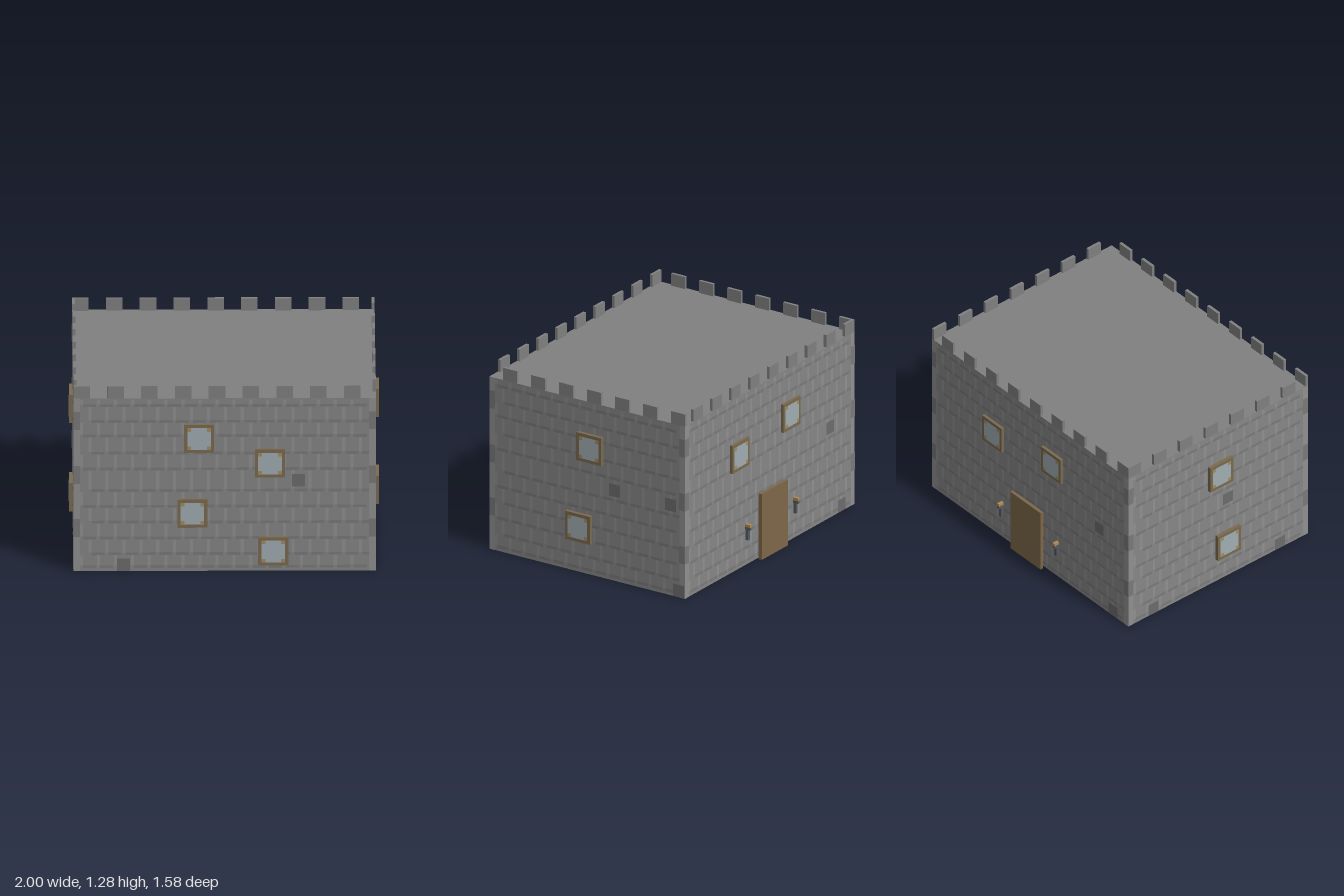
import * as THREE from 'three';
import { mergeGeometries } from 'three/addons/utils/BufferGeometryUtils.js';

const mat = (color) => new THREE.MeshStandardMaterial({ color });
const M = {
  stone: mat(0x868686), light: mat(0x909090), dark: mat(0x7a7a7a), patch: mat(0x6c6c6c),
  merlon: mat(0x808080), frame: mat(0x7a6a4f), corner: mat(0xa28c5f), glass: mat(0xa0adb3),
  door: mat(0x7d6748), iron: mat(0x555a60), flame: mat(0xb08a50),
};

const HALF_X = 0.975, FRONT = 0.77, BACK = -0.752, WALL_H = 1.2;
const TILE = 0.109, MERLON_H = 0.085, THICK = 0.02;

function add(parent, name, geometry, material, x = 0, y = 0, z = 0) {
  const mesh = new THREE.Mesh(geometry, material);
  mesh.name = name;
  mesh.position.set(x, y, z);
  parent.add(mesh);
  return mesh;
}
const box = (parent, name, material, w, h, d, x, y, z) =>
  add(parent, name, new THREE.BoxGeometry(w, h, d), material, x, y, z);
// Flat rectangle given by its edges, facing out of the wall
const rect = (x0, x1, y0, y1, z) =>
  new THREE.PlaneGeometry(x1 - x0, y1 - y0).translate((x0 + x1) / 2, (y0 + y1) / 2, z);

// Coursed stone facing: dark bed joints, light upright joints, quoins at both ends
function stonework(face, x0, x1) {
  const rows = [0.03, 0.12, 0.23, 0.34, 0.45, 0.56, 0.71, 0.82, 0.94, 1.04, 1.15];
  const dark = [], light = [], q = 0.043, z = 0.001;
  rows.forEach((y, r) => {
    const top = r + 1 < rows.length ? rows[r + 1] - 0.01 : WALL_H - 0.01;
    const shift = r % 2 ? TILE / 2 : 0;
    for (let x = x0 + q + shift; x < x1 - q - 0.02; x += TILE) {
      light.push(rect(x, x + 0.02, y + 0.01, top, z));
      dark.push(rect(x + 0.02, Math.min(x + TILE - 0.005, x1 - q), y - 0.01, y + 0.01, z));
    }
  });
  for (const [a, b] of [[x0, x0 + q], [x1 - q, x1]]) {
    light.push(rect(a, b, 0, WALL_H, z));
    for (const y of [0.3, 0.67, 1.045]) dark.push(rect(a, b, y - 0.062, y + 0.062, 0.0018));
  }
  add(face, 'lightJoints', mergeGeometries(light), M.light);
  add(face, 'darkJoints', mergeGeometries(dark), M.dark);
}

// Square window: wooden frame, pane and four corner blocks
function makeWindow(face, x, y, depth) {
  const g = new THREE.Group();
  g.name = 'window';
  g.position.set(x, y, 0);
  face.add(g);
  box(g, 'windowFrame', M.frame, 0.195, 0.195, depth, 0, 0, depth / 2);
  add(g, 'windowPane', new THREE.PlaneGeometry(0.152, 0.152), M.glass, 0, 0, depth + 0.001);
  const blocks = [];
  for (const sx of [-1, 1]) for (const sy of [-1, 1]) {
    blocks.push(new THREE.PlaneGeometry(0.025, 0.025).translate(sx * 0.0635, sy * 0.0635, 0));
  }
  add(g, 'paneCorners', mergeGeometries(blocks), M.corner, 0, 0, depth + 0.002);
}

// Wall torch: bracket, stick and head
function makeTorch(face, x) {
  const g = new THREE.Group();
  g.name = 'torch';
  g.position.set(x, 0, 0);
  face.add(g);
  box(g, 'torchStick', M.iron, 0.022, 0.075, 0.02, 0, 0.215, 0.013);
  box(g, 'torchBracket', M.iron, 0.02, 0.02, 0.038, 0, 0.257, 0.019);
  box(g, 'torchHead', M.flame, 0.02, 0.02, 0.038, 0, 0.276, 0.02);
}

export function createModel() {
  const model = new THREE.Group();
  model.name = 'castleKeep';
  const depth = FRONT - BACK, midZ = (FRONT + BACK) / 2;
  box(model, 'keepBody', M.stone, HALF_X * 2, WALL_H, depth, 0, WALL_H / 2, midZ);
  add(model, 'roof', new THREE.PlaneGeometry(HALF_X * 2, depth).rotateX(-Math.PI / 2),
    M.merlon, 0, WALL_H + 0.001, midZ);

  // Battlements along the four edges
  const my = WALL_H + MERLON_H / 2, w = TILE - 0.002;
  for (let i = 0; i < 9; i++) {
    const x = -HALF_X + i * TILE * 2 + w / 2;
    box(model, 'frontMerlon', M.merlon, w, MERLON_H, THICK, x, my, FRONT - THICK / 2);
    box(model, 'backMerlon', M.merlon, w, MERLON_H, THICK, x, my, BACK + THICK / 2);
  }
  for (let i = 0; i < 7; i++) for (const s of [-1, 1]) {
    box(model, 'sideMerlon', M.merlon, THICK, MERLON_H, w,
      s * (HALF_X - THICK / 2), my, BACK + i * TILE * 2 + w / 2);
  }

  // Each wall is laid out flat facing +z, then turned into place
  const walls = [
    { name: 'frontWall', turn: 0, pos: [0, 0, FRONT], span: [-HALF_X, HALF_X], frame: 0.02,
      windows: [[-0.165, 0.925], [0.292, 0.752], [-0.208, 0.405], [0.313, 0.142]],
      patches: [[0.476, 0.63], [-0.652, 0.045]] },
    { name: 'backWall', turn: Math.PI, pos: [0, 0, BACK], span: [-HALF_X, HALF_X], frame: 0.02,
      windows: [[-0.358, 0.795], [0.228, 0.882]],
      patches: [[0.69, 0.63], [0.826, 0.045]] },
    { name: 'leftWall', turn: Math.PI / 2, pos: [HALF_X, 0, 0], span: [-FRONT, -BACK], frame: 0.025,
      windows: [[0.02, 0.883], [-0.067, 0.315]],
      patches: [[0.206, 0.63], [0.64, 0.63], [0.705, 0.045]] },
    { name: 'rightWall', turn: -Math.PI / 2, pos: [-HALF_X, 0, 0], span: [BACK, FRONT], frame: 0.025,
      windows: [[0.02, 0.863], [0.085, 0.275]],
      patches: [[0.09, 0.63], [-0.54, 0.045], [0.53, 0.045]] },
  ];
  for (const wall of walls) {
    const face = new THREE.Group();
    face.name = wall.name;
    face.position.set(...wall.pos);
    face.rotation.y = wall.turn;
    model.add(face);
    stonework(face, ...wall.span);
    add(face, 'darkStones', mergeGeometries(wall.patches.map(([x, y]) =>
      rect(x - 0.043, x + 0.043, y - 0.043, y + 0.043, 0.0026))), M.patch);
    for (const [x, y] of wall.windows) makeWindow(face, x, y, wall.frame);

    // Door and torches
    if (wall.name === 'backWall') {
      box(face, 'doorBase', M.door, 0.26, 0.437, 0.02, 0, 0.2185, 0.01);
      box(face, 'door', M.door, 0.3, 0.458, 0.02, 0, 0.229, 0.03);
      for (const x of [-0.273, 0.277]) makeTorch(face, x);
    }
  }
  return model;
}
